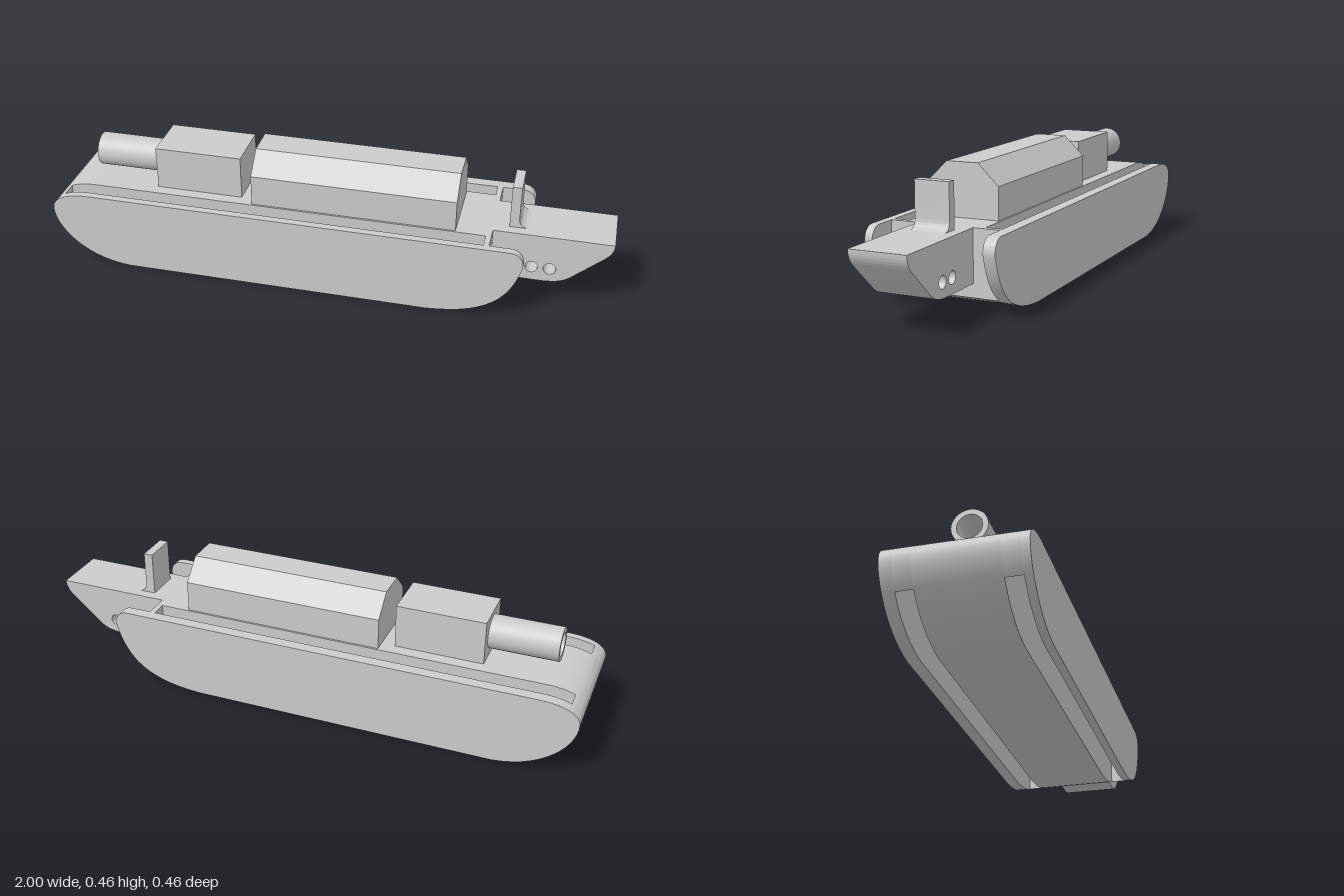
import * as THREE from 'three';
import { toCreasedNormals } from 'three/addons/utils/BufferGeometryUtils.js';

const DECK = 0.277;
const material = new THREE.MeshStandardMaterial({ color: 0xcccccc });

// side outline shared by the side plates and the centre hull
function hullOutline() {
  const s = new THREE.Shape();
  s.moveTo(-0.72, 0);
  s.lineTo(0.38, 0);
  s.bezierCurveTo(0.6, 0.01, 0.67, 0.09, 0.705, 0.22);
  s.bezierCurveTo(0.71, 0.25, 0.69, DECK, 0.66, DECK);
  s.lineTo(-0.86, DECK);
  s.bezierCurveTo(-0.95, DECK, -1, 0.25, -1, 0.21);
  s.bezierCurveTo(-1, 0.13, -0.9, 0.01, -0.72, 0);
  return s.getPoints(14).slice(0, -1);
}

// keeps the part of a convex outline where side * (x - limit) >= 0
function clip(points, limit, side) {
  const out = [];
  points.forEach((a, i) => {
    const b = points[(i + 1) % points.length];
    const da = side * (a.x - limit), db = side * (b.x - limit);
    if (da >= 0) out.push(a);
    if (da * db < 0) out.push(a.clone().lerp(b, da / (da - db)));
  });
  return out;
}

export function createModel() {
  const group = new THREE.Group();
  const add = (name, geometry) => {
    const mesh = new THREE.Mesh(geometry, material);
    mesh.name = name;
    group.add(mesh);
    return mesh;
  };
  const extrude = (shape, depth) => toCreasedNormals(
    new THREE.ExtrudeGeometry(shape, { depth, bevelEnabled: false, curveSegments: 16 }), 0.5);
  // side outline pushed from z0 to z1
  const slab = (name, shape, z0, z1) => add(name, extrude(shape, z1 - z0).translate(0, 0, z0));
  const box = (name, x0, x1, y0, y1, z0, z1) => add(name,
    new THREE.BoxGeometry(x1 - x0, y1 - y0, z1 - z0)
      .translate((x0 + x1) / 2, (y0 + y1) / 2, (z0 + z1) / 2));

  // hull: two side plates, centre body, and cross walls closing the slots
  const outline = hullOutline();
  const cut = clip(outline, 0.585, -1);
  slab('leftPlate', new THREE.Shape(outline), 0.203, 0.231);
  slab('rightPlate', new THREE.Shape(outline), -0.231, -0.189);
  slab('centreHull', new THREE.Shape(cut), -0.131, 0.145);
  const nose = new THREE.Shape(clip(outline, -0.96, -1));
  const wall = new THREE.Shape(clip(cut, 0.565, 1));
  for (const [z0, z1] of [[-0.189, -0.131], [0.145, 0.203]]) {
    slab('noseWall', nose, z0, z1);
    slab('sternWall', wall, z0, z1);
  }

  // overhanging stern block with two through holes
  const stern = new THREE.Shape();
  stern.moveTo(0.58, 0.095);
  stern.lineTo(0.77, 0.095);
  stern.bezierCurveTo(0.82, 0.097, 0.84, 0.105, 0.865, 0.125);
  stern.lineTo(0.975, 0.222);
  stern.quadraticCurveTo(1, 0.247, 1, DECK);
  stern.lineTo(0.58, DECK);
  for (const x of [0.727, 0.79]) {
    const hole = new THREE.Path();
    hole.absarc(x, 0.148, 0.022, 0, Math.PI * 2, true);
    stern.holes.push(hole);
  }
  slab('sternBlock', stern, -0.095, 0.104);

  // upright post with a fillet at its base
  const post = new THREE.Shape();
  post.moveTo(0.637, DECK - 0.005);
  post.lineTo(0.702, DECK - 0.005);
  post.lineTo(0.702, DECK);
  post.quadraticCurveTo(0.67, DECK + 0.003, 0.67, DECK + 0.035);
  post.lineTo(0.67, 0.435);
  post.lineTo(0.637, 0.435);
  slab('post', post, -0.057, 0.066);

  // long cabin with chamfered roof
  const section = new THREE.Shape([
    [-0.138, 0.272], [0.124, 0.272], [0.124, 0.39], [0.05, 0.463], [-0.064, 0.463], [-0.138, 0.39],
  ].map(([x, y]) => new THREE.Vector2(x, y)));
  add('cabin', extrude(section, 0.732).rotateY(Math.PI / 2).translate(-0.272, 0, 0));

  // forward housing and hollow barrel
  box('housing', -0.637, -0.32, 0.272, 0.435, -0.085, 0.102);
  const ring = new THREE.Shape();
  ring.absarc(0, 0, 0.06, 0, Math.PI * 2, false);
  const bore = new THREE.Path();
  bore.absarc(0, 0, 0.042, 0, Math.PI * 2, true);
  ring.holes.push(bore);
  add('barrel', extrude(ring, 0.245).rotateY(Math.PI / 2).translate(-0.88, 0.357, 0.008));

  return group;
}
